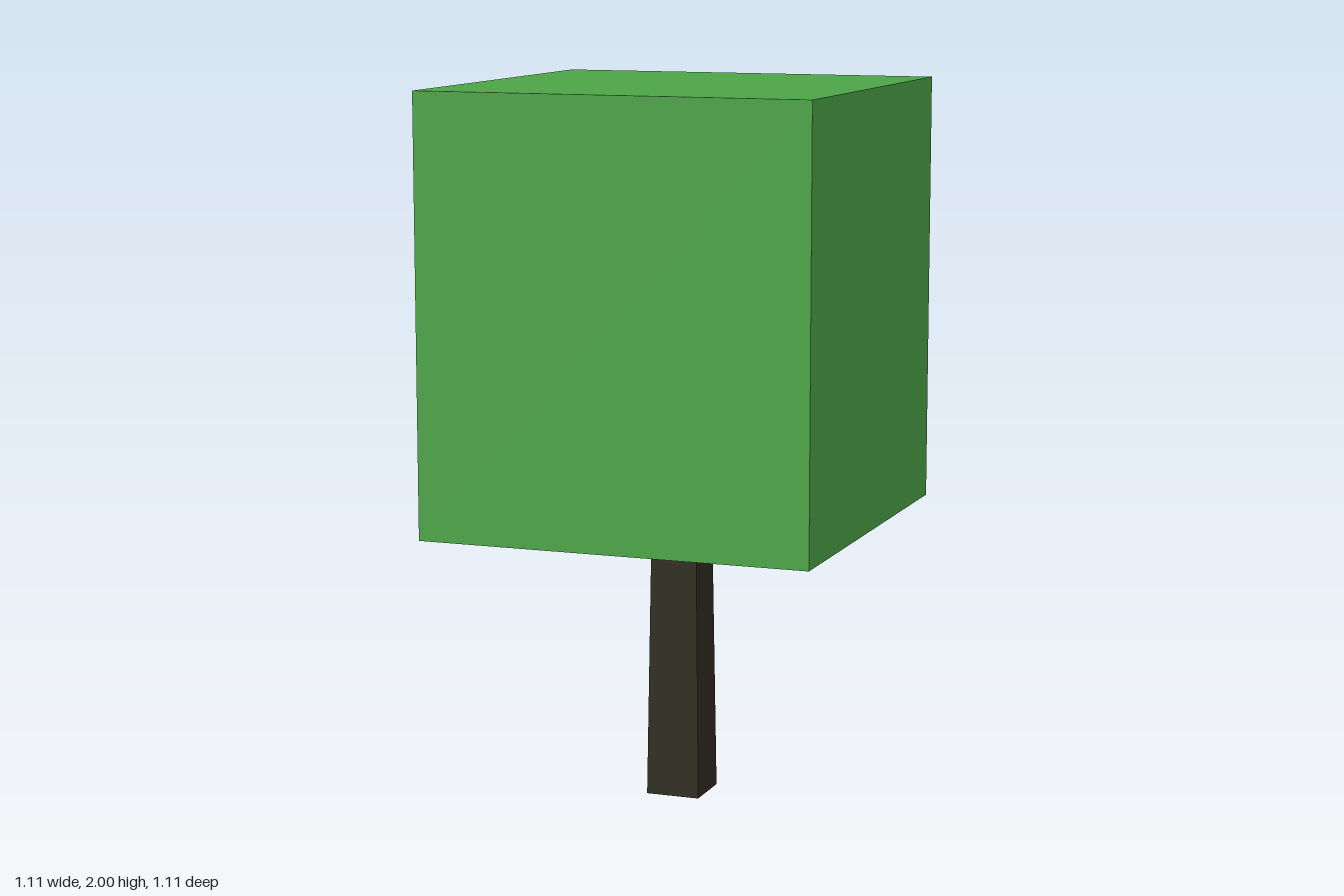
import * as THREE from 'three';

const CROWN = { width: 1.106, bottom: 0.79, top: 2 };
const TRUNK = { bottomHalf: 0.077, topHalf: 0.066, height: 0.79 };

function material(color) {
  return new THREE.MeshStandardMaterial({ color, flatShading: true });
}

export function createModel() {
  const tree = new THREE.Group();
  tree.name = 'tree';

  // Square trunk, narrowing slightly towards the crown
  const trunkGeometry = new THREE.CylinderGeometry(
    TRUNK.topHalf * Math.SQRT2, TRUNK.bottomHalf * Math.SQRT2, TRUNK.height, 4);
  trunkGeometry.rotateY(Math.PI / 4);
  const trunk = new THREE.Mesh(trunkGeometry, material(0x2e2b20));
  trunk.name = 'trunk';
  trunk.position.y = TRUNK.height / 2;
  tree.add(trunk);

  // Block of foliage
  const crownHeight = CROWN.top - CROWN.bottom;
  const crown = new THREE.Mesh(
    new THREE.BoxGeometry(CROWN.width, crownHeight, CROWN.width), material(0x4ca447));
  crown.name = 'crown';
  crown.position.y = CROWN.bottom + crownHeight / 2;
  tree.add(crown);

  return tree;
}
